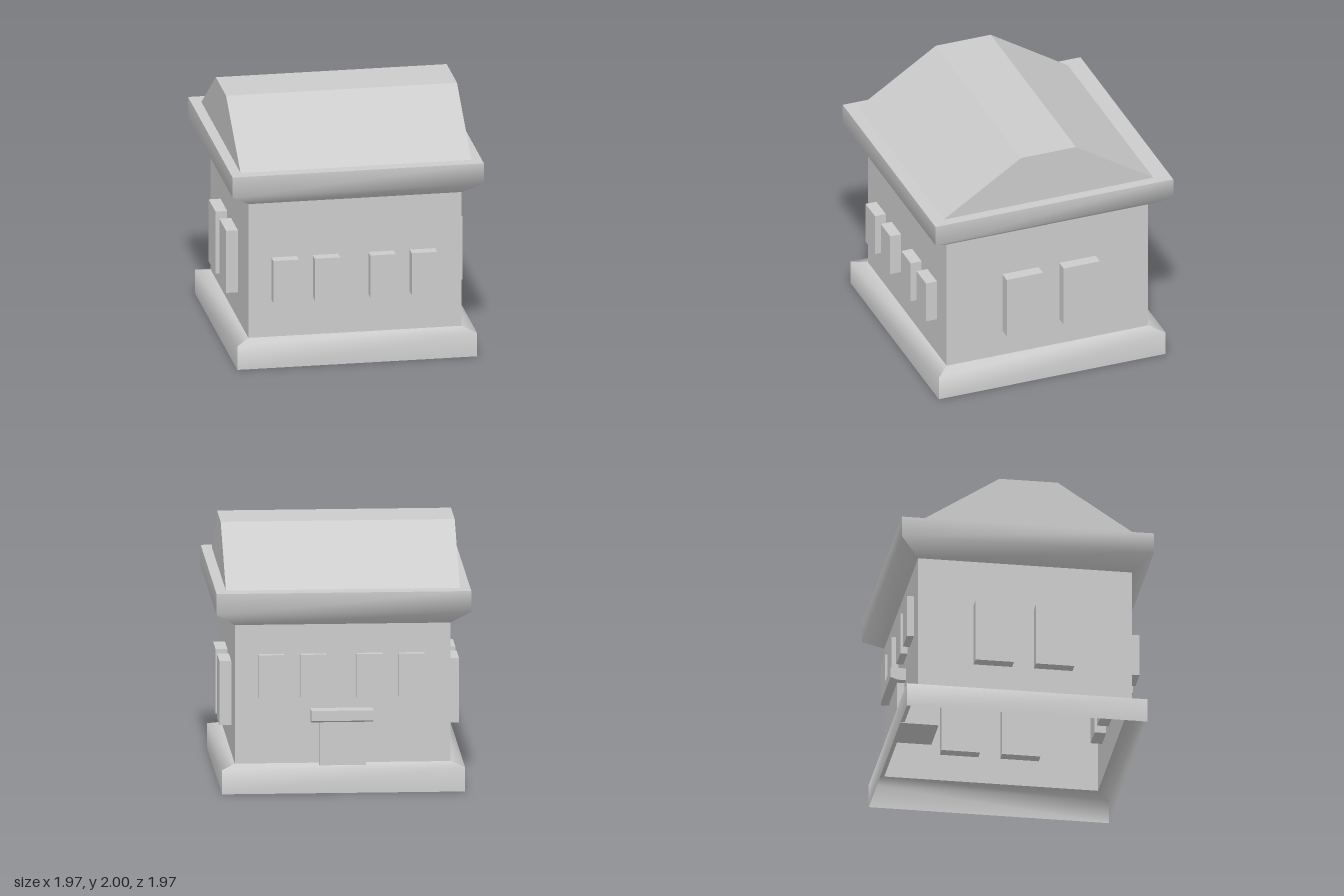
import * as THREE from 'three';

const grey = new THREE.MeshStandardMaterial({ color: 0xcccccc, side: THREE.DoubleSide });

function add(group, name, geometry, x = 0, y = 0, z = 0) {
  const mesh = new THREE.Mesh(geometry, grey);
  mesh.name = name;
  mesh.position.set(x, y, z);
  group.add(mesh);
  return mesh;
}

// One mitred side of a square band; profile is [half width, height] from bottom to top.
// Normals are smooth up the profile and sharp at the corners.
function bandSide(profile) {
  const pos = [], idx = [];
  for (const [r, y] of profile) pos.push(-r, y, r, r, y, r);
  for (let i = 0; i < profile.length - 1; i++) {
    const a = i * 2;
    idx.push(a, a + 1, a + 3, a, a + 3, a + 2);
  }
  const g = new THREE.BufferGeometry();
  g.setAttribute('position', new THREE.Float32BufferAttribute(pos, 3));
  g.setIndex(idx);
  g.computeVertexNormals();
  return g;
}

function addBand(group, name, profile) {
  const band = new THREE.Group();
  band.name = name;
  for (let i = 0; i < 4; i++) {
    add(band, name + 'Side', bandSide(profile)).rotation.y = i * Math.PI / 2;
  }
  group.add(band);
}

// Extrudes a [z, y] outline along x, centred on x = 0.
function extrudeAlongX(points, width) {
  const shape = new THREE.Shape(points.map(([z, y]) => new THREE.Vector2(-z, y)));
  const g = new THREE.ExtrudeGeometry(shape, { depth: width, bevelEnabled: false });
  g.translate(0, 0, -width / 2);
  g.rotateY(Math.PI / 2);
  return g;
}

export function createModel() {
  const house = new THREE.Group();
  house.name = 'house';

  // Open-bottomed shell: plinth, walls and flared eaves
  addBand(house, 'plinth', [[0.94, 0], [0.94, 0.19], [0.835, 0.22]]);
  addBand(house, 'walls', [[0.835, 0.22], [0.835, 1.31]]);
  addBand(house, 'eaves', [[0.835, 1.31], [0.985, 1.42], [0.985, 1.585]]);
  const deck = new THREE.PlaneGeometry(1.97, 1.97);
  deck.rotateX(-Math.PI / 2);
  add(house, 'eavesTop', deck, 0, 1.585, 0);

  // Flat-topped roof with straight gables
  add(house, 'roof', extrudeAlongX(
    [[0.885, 1.585], [0.245, 2], [-0.21, 2], [-0.85, 1.585]], 1.81));

  // Four small windows on the front and, turned round, on the back
  for (const x of [-0.555, -0.23, 0.205, 0.53]) {
    add(house, 'frontWindow', new THREE.BoxGeometry(0.2, 0.34, 0.18), x, 0.695, 0.835);
    add(house, 'backWindow', new THREE.BoxGeometry(0.2, 0.34, 0.18), -x, 0.91, -0.8);
  }

  // Two tall windows on each side
  for (const side of [-1, 1]) {
    for (const z of [0.222, -0.25]) {
      add(house, 'sideWindow', new THREE.BoxGeometry(0.18, 0.505, 0.3), side * 0.837, 0.69, z);
    }
  }

  // Back door block, running into the house, and its canopy
  add(house, 'door', new THREE.BoxGeometry(0.36, 0.35, 0.325), 0.005, 0.385, -0.7325);
  add(house, 'canopy', extrudeAlongX(
    [[-0.8, 0.65], [-0.955, 0.65], [-0.955, 0.57], [-0.9, 0.55], [-0.8, 0.55]], 0.48), 0.01);

  return house;
}
